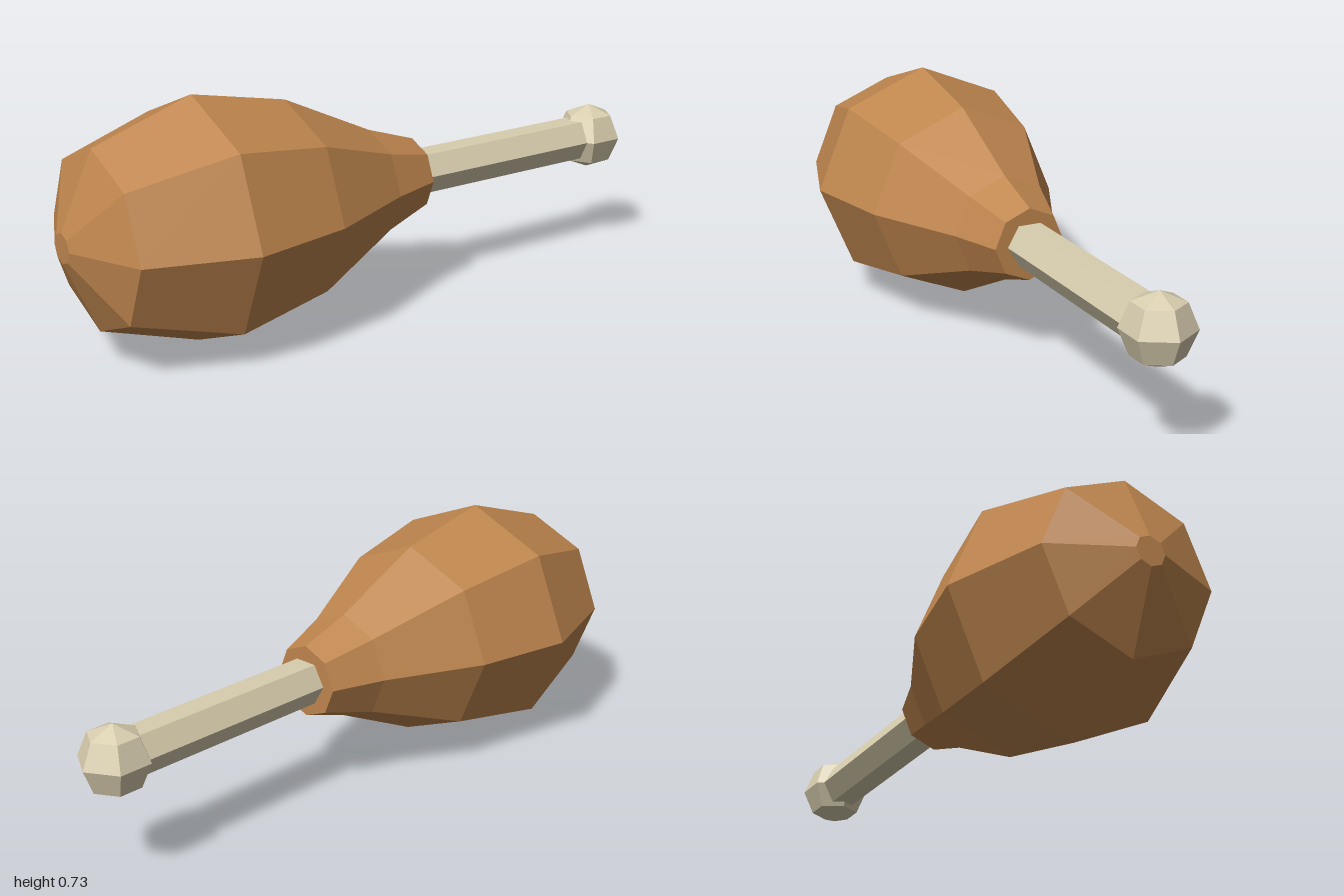
import * as THREE from 'three';

const AXIS_Y = 0.37; // height of the long axis

export function createModel() {
  const group = new THREE.Group();
  group.name = 'drumstick';

  const meatBrown = new THREE.MeshStandardMaterial({ color: 0xbf864e, flatShading: true });
  meatBrown.name = 'meatBrown';
  const boneCream = new THREE.MeshStandardMaterial({ color: 0xd8cdae, flatShading: true });
  boneCream.name = 'boneCream';

  const add = (name, geometry, material, x) => {
    const mesh = new THREE.Mesh(geometry, material);
    mesh.name = name;
    mesh.position.set(x, AXIS_Y, 0);
    group.add(mesh);
  };

  // Meat: eight-sided turned body, as [radius, position along x]
  const profile = [
    [0, -1], [0.045, -1], [0.265, -0.9], [0.367, -0.59],
    [0.305, -0.285], [0.165, 0.01], [0.111, 0.172], [0, 0.172],
  ].map(([r, x]) => new THREE.Vector2(r, x));
  add('meat', new THREE.LatheGeometry(profile, 8).rotateZ(-Math.PI / 2), meatBrown, 0);

  // Bone shaft: hexagonal rod running from inside the meat to the knob
  const start = 0.1, end = 0.85;
  const shaft = new THREE.CylinderGeometry(0.071, 0.071, end - start, 6).rotateZ(-Math.PI / 2);
  add('boneShaft', shaft, boneCream, (start + end) / 2);

  // Bone knob: coarse ball with upright poles
  add('boneKnob', new THREE.SphereGeometry(0.106, 6, 4), boneCream, 0.894);

  return group;
}
